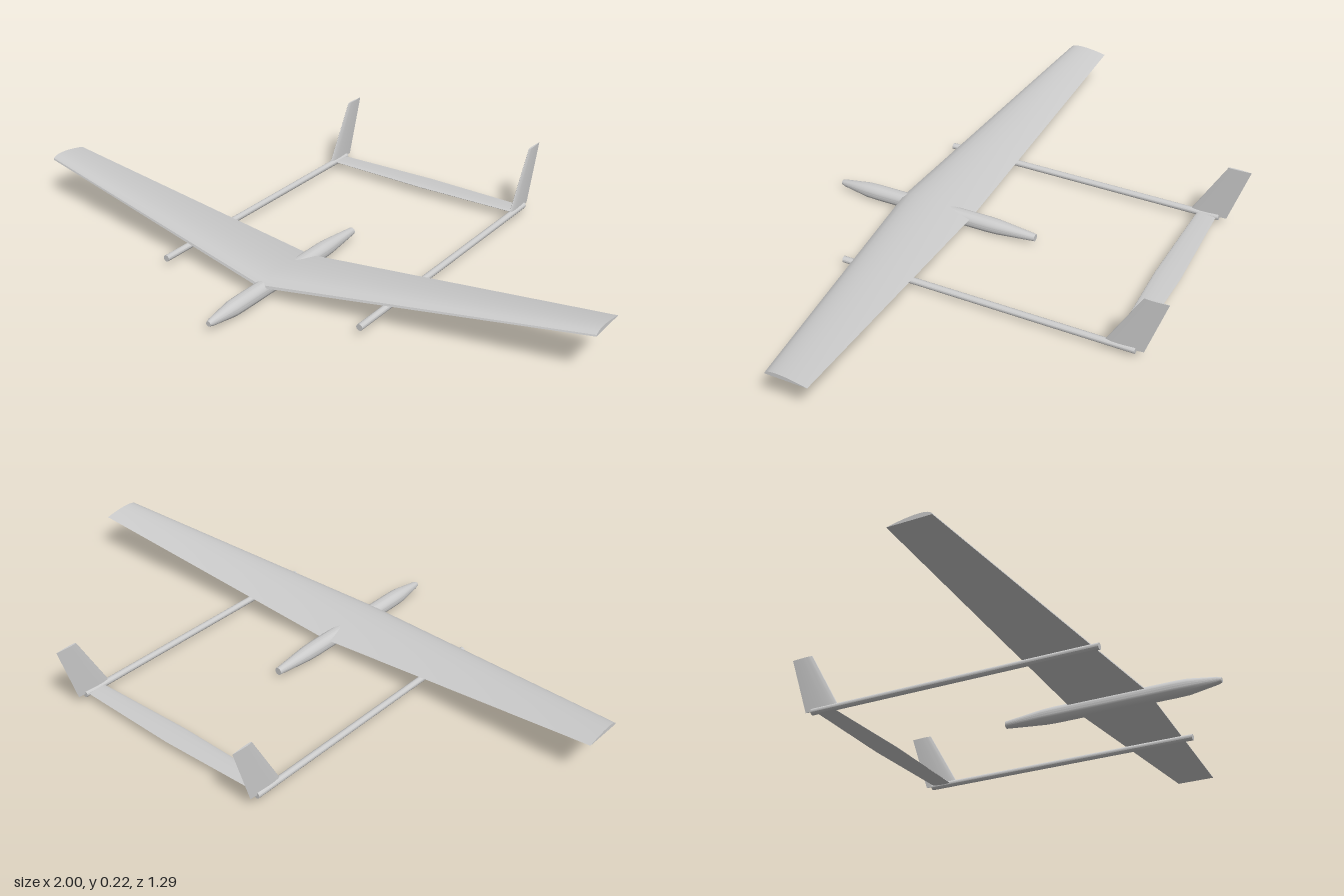
import * as THREE from 'three';
import { toCreasedNormals } from 'three/addons/utils/BufferGeometryUtils.js';

const grey = new THREE.MeshStandardMaterial({ color: 0xcccccc });
const STEPS = 14;

// Relative airfoil height (peak 1) at chord fraction t
const foil = t =>
  10 * (0.2969 * Math.sqrt(t) - 0.126 * t - 0.3516 * t ** 2 + 0.2843 * t ** 3 - 0.1036 * t ** 4);

// Closed airfoil ring at a span station: over the top from nose to tail, back underneath
function station({ x, y = 0, front, back, up, down = 0 }) {
  const ring = [];
  const point = (t, h) => ring.push([x, y + h * foil(t), front + (back - front) * t]);
  const frac = i => (1 - Math.cos((Math.PI * i) / STEPS)) / 2;
  for (let i = 0; i <= STEPS; i++) point(frac(i), up);
  for (let i = STEPS; i > 0; i--) point(frac(i), -down);
  return ring;
}

// Skin a list of stations running towards +x and cap both ends
function surface(stations) {
  const rings = stations.map(station);
  const n = rings[0].length;
  const index = [];
  for (let s = 0; s < rings.length - 1; s++) {
    for (let i = 0; i < n; i++) {
      const a = s * n + i, b = s * n + (i + 1) % n;
      index.push(a, a + n, b + n, a, b + n, b);
    }
  }
  const last = (rings.length - 1) * n;
  for (let i = 1; i < n - 1; i++) {
    index.push(0, i, i + 1, last, last + i + 1, last + i);
  }
  const geometry = new THREE.BufferGeometry();
  geometry.setAttribute('position', new THREE.Float32BufferAttribute(rings.flat(2), 3));
  geometry.setIndex(index);
  return toCreasedNormals(geometry, 0.5);
}

// Round body along z from [z, radius] pairs listed tail to nose
function body(profile, segments) {
  const points = profile.map(([z, r]) => new THREE.Vector2(r, z));
  return toCreasedNormals(new THREE.LatheGeometry(points, segments).rotateX(Math.PI / 2), 0.5);
}

export function createModel() {
  const model = new THREE.Group();
  const add = (name, geometry) => {
    const mesh = new THREE.Mesh(geometry, grey);
    mesh.name = name;
    model.add(mesh);
    return mesh;
  };

  // Slim pod with tapered nose and tail
  add('fuselage', body([
    [-0.07, 0], [-0.07, 0.012], [-0.06, 0.013], [0.06, 0.0245], [0.1, 0.026],
    [0.5, 0.026], [0.54, 0.025], [0.63, 0.012], [0.643, 0.008], [0.645, 0],
  ], 24)).position.y = 0.026;

  // Flat-bottomed tapered wing with dihedral
  const tip = { y: 0.14, front: 0.255, back: 0.12, up: 0.014 };
  add('wing', surface([
    { x: -1, ...tip },
    { x: 0, y: 0.037, front: 0.41, back: 0.155, up: 0.024 },
    { x: 1, ...tip },
  ]));

  // Tailplane joining the two booms
  const end = { y: 0.028, front: -0.483, back: -0.547, up: 0.003, down: 0.003 };
  add('tailplane', surface([
    { x: -0.36, ...end },
    { x: 0, y: 0.028, front: -0.474, back: -0.557, up: 0.004, down: 0.004 },
    { x: 0.36, ...end },
  ]));

  // Booms and swept fins
  for (const [side, sign] of [['left', 1], ['right', -1]]) {
    const boom = add(side + 'Boom', body([
      [-0.555, 0], [-0.555, 0.0105], [0.415, 0.0105], [0.415, 0],
    ], 16));
    boom.position.set(sign * 0.36, 0.0265, 0);

    const fin = add(side + 'Fin', surface([
      { x: 0.028, front: -0.457, back: -0.58, up: 0.005, down: 0.005 },
      { x: 0.223, front: -0.57, back: -0.645, up: 0.003, down: 0.003 },
    ]));
    fin.rotation.z = Math.PI / 2;
    fin.position.x = sign * 0.36;
  }
  return model;
}
